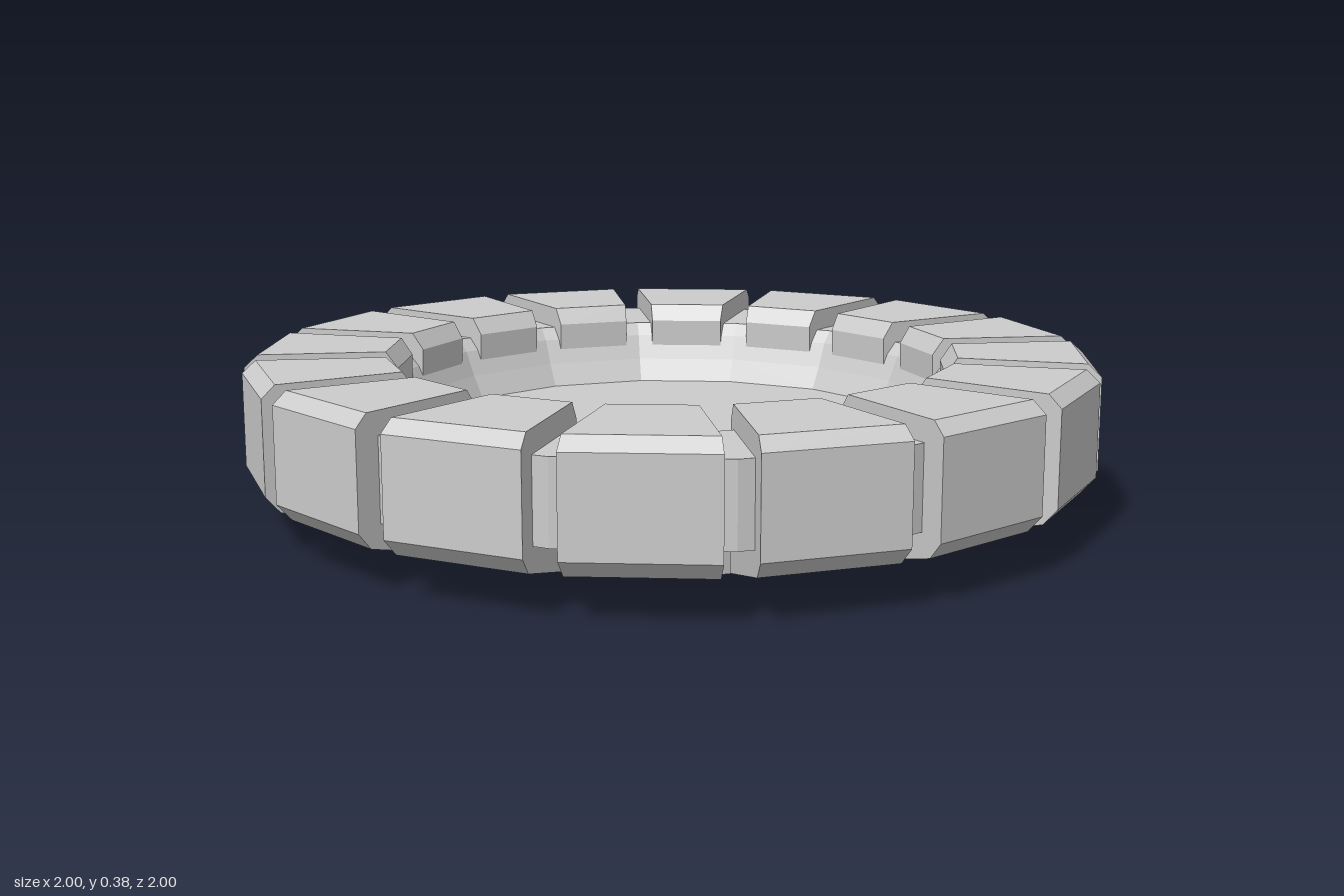
import * as THREE from 'three';

const SIDES = 16;
const GAP = 0.036; // half the slot between neighbouring blocks

export function createModel() {
  const model = new THREE.Group();
  model.name = 'segmentedRing';
  const material = new THREE.MeshStandardMaterial({ color: 0xcccccc, flatShading: true });
  const points = (list) => list.map(([x, y]) => new THREE.Vector2(x, y));

  // Core: faceted base disc, recessed ring and sunken floor as one turned profile
  const coreProfile = points([
    [0, 0], [0.615, 0], [0.625, 0.065], [0.945, 0.145], [0.945, 0.33],
    [0.69, 0.33], [0.665, 0.3], [0.64, 0.24], [0.612, 0.185], [0, 0.185],
  ]);
  const core = new THREE.Mesh(new THREE.LatheGeometry(coreProfile, SIDES), material);
  core.name = 'coreAndFloor';
  model.add(core);

  // Block: bevelled radial cross-section, widened with distance from the centre
  const blockProfile = points([
    [0.645, 0.014], [0.955, 0.097], [0.988, 0.135], [0.988, 0.353], [0.957, 0.382],
    [0.667, 0.382], [0.64, 0.342], [0.645, 0.2],
  ]);
  const block = new THREE.ExtrudeGeometry(new THREE.Shape(blockProfile), {
    depth: 1, bevelEnabled: false,
  });
  const position = block.attributes.position;
  for (let i = 0; i < position.count; i++) {
    const halfWidth = position.getX(i) * Math.tan(Math.PI / SIDES) - GAP;
    position.setZ(i, (2 * position.getZ(i) - 1) * halfWidth);
  }
  block.computeVertexNormals();

  // Ring of blocks, with the slots falling on the axes
  const ring = new THREE.Group();
  ring.name = 'rimBlocks';
  for (let i = 0; i < SIDES; i++) {
    const mesh = new THREE.Mesh(block, material);
    mesh.name = 'rimBlock';
    mesh.rotation.y = ((i + 0.5) * 2 * Math.PI) / SIDES;
    ring.add(mesh);
  }
  model.add(ring);
  return model;
}
